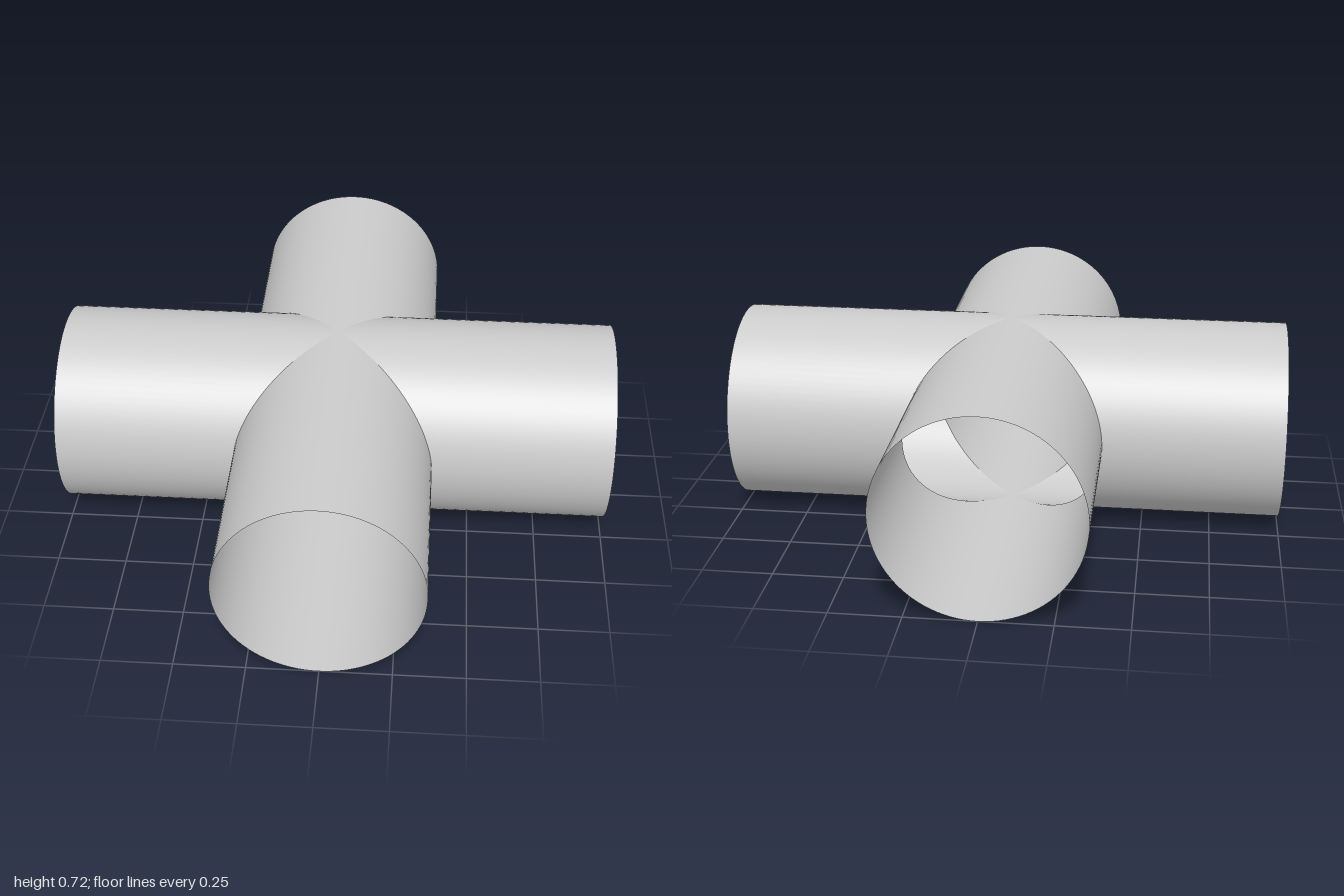
import * as THREE from 'three';

const RADIUS = 0.358;
const REACH = 1;

// One open pipe arm along +z, its inner end mitred at 45 degrees to both sides
function armGeometry() {
  const geo = new THREE.CylinderGeometry(RADIUS, RADIUS, REACH, 96, 1, true);
  geo.rotateX(Math.PI / 2).translate(0, RADIUS, REACH / 2);
  const pos = geo.attributes.position;
  for (let i = 0; i < pos.count; i++) {
    if (pos.getZ(i) < REACH / 2) pos.setZ(i, Math.abs(pos.getX(i)));
  }
  return geo;
}

export function createModel() {
  const group = new THREE.Group();
  group.name = 'fourWayPipeCross';
  const material = new THREE.MeshStandardMaterial({ color: 0xcccccc, side: THREE.DoubleSide });
  const geo = armGeometry();

  // Four arms meeting along the mitred seams
  ['frontArm', 'leftArm', 'backArm', 'rightArm'].forEach((name, i) => {
    const arm = new THREE.Mesh(geo, material);
    arm.name = name;
    arm.rotation.y = (i * Math.PI) / 2;
    group.add(arm);
  });
  return group;
}
